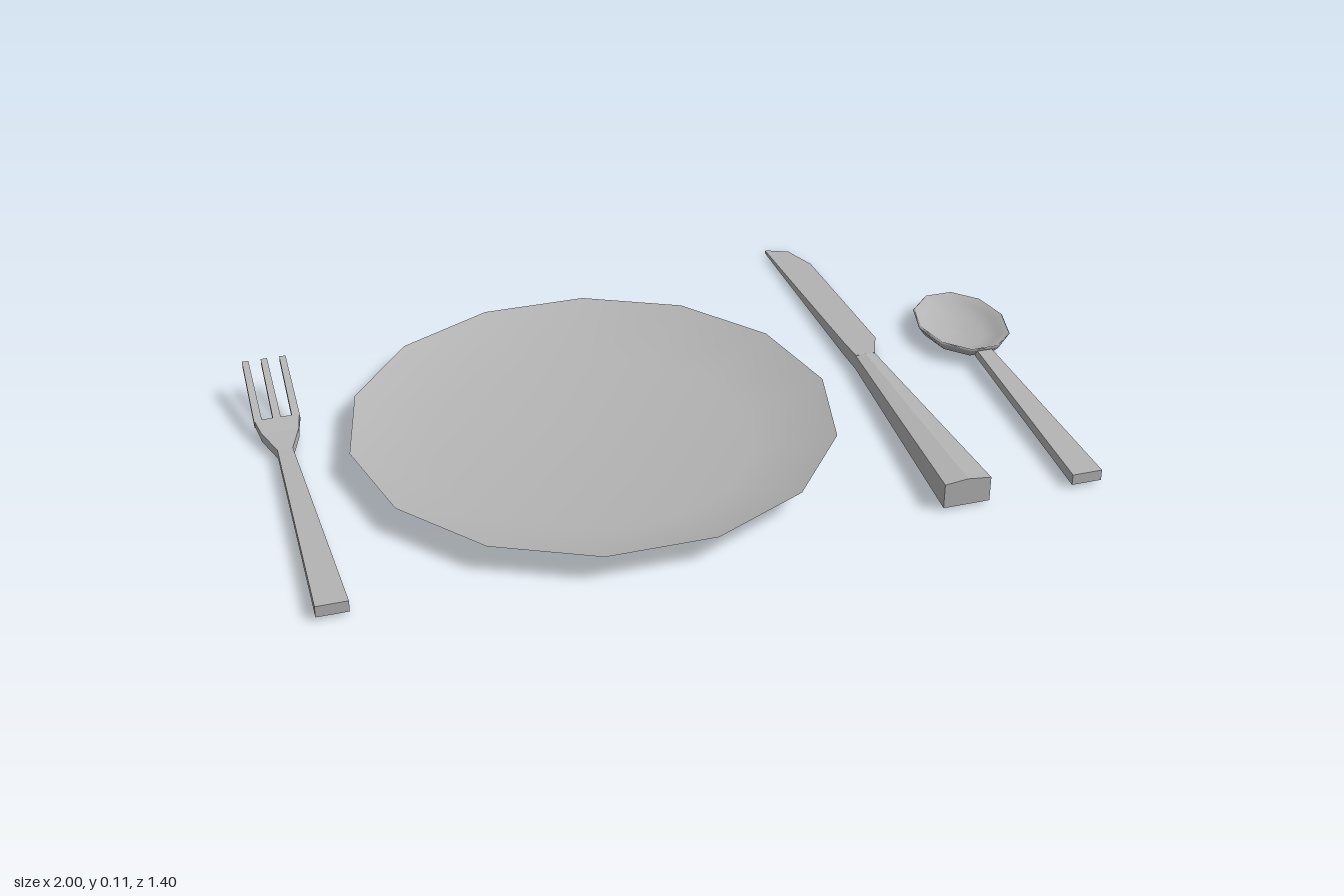
import * as THREE from 'three';

// Lofts a six-sided bar from the front (+z) to the back.
// Each section: [z, left x, right x, bottom y, top y], crown bulges the top middle.
function loft(sections, crown = 0) {
  const rings = sections.map(([z, x0, x1, y0, y1]) => {
    const xm = (x0 + x1) / 2, top = y1 + crown * (y1 - y0);
    return [[x0, y0, z], [xm, y0, z], [x1, y0, z], [x1, y1, z], [xm, top, z], [x0, y1, z]];
  });
  const pos = [], n = 6, last = rings.length - 1;
  const tri = (...pts) => pts.forEach((p) => pos.push(...p));
  for (let i = 0; i < last; i++) {
    for (let j = 0; j < n; j++) {
      const k = (j + 1) % n, a = rings[i], b = rings[i + 1];
      tri(a[j], b[j], a[k]);
      tri(a[k], b[j], b[k]);
    }
  }
  for (let j = 1; j < n - 1; j++) {
    tri(rings[0][0], rings[0][j], rings[0][j + 1]);
    tri(rings[last][0], rings[last][j + 1], rings[last][j]);
  }
  const geo = new THREE.BufferGeometry();
  geo.setAttribute('position', new THREE.Float32BufferAttribute(pos, 3));
  geo.computeVertexNormals();
  return geo;
}

export function createModel() {
  const model = new THREE.Group();
  model.name = 'placeSetting';
  const grey = new THREE.MeshStandardMaterial({ color: 0xb4b4b4, side: THREE.DoubleSide });
  grey.name = 'grey';

  const add = (parent, name, geo) => {
    const mesh = new THREE.Mesh(geo, grey);
    mesh.name = name;
    parent.add(mesh);
    return mesh;
  };
  const group = (name) => {
    const g = new THREE.Group();
    g.name = name;
    model.add(g);
    return g;
  };
  const lathe = (points, sides) =>
    new THREE.LatheGeometry(points.map(([r, y]) => new THREE.Vector2(r, y)), sides, Math.PI / 2);

  // Plate: a shallow dish with sloping sides
  const plate = add(model, 'plate', lathe([[0, 0.002], [0.4, 0.002], [0.603, 0.07]], 14));
  plate.position.set(-0.202, 0, 0.111);

  // Fork: tapering handle, flared head and three rising tines
  const fork = group('fork');
  fork.position.x = -0.943;
  add(fork, 'forkHandle', loft([
    [0.65, -0.038, 0.038, 0.008, 0.037],
    [-0.02, -0.019, 0.019, 0.004, 0.03],
    [-0.095, -0.046, 0.046, 0.012, 0.036],
    [-0.145, -0.056, 0.056, 0.03, 0.046],
  ]));
  for (const x of [-0.047, 0, 0.047]) {
    add(fork, 'forkTine', loft([
      [-0.14, x - 0.01, x + 0.01, 0.028, 0.044],
      [-0.325, x - 0.008, x + 0.008, 0.098, 0.114],
    ]));
  }

  // Knife: thick handle end, narrow neck and blade with a slanted tip
  const knife = group('knife');
  add(knife, 'knifeHandle', loft([
    [0.652, 0.505, 0.622, 0.006, 0.071],
    [-0.02, 0.544, 0.597, 0.002, 0.04],
  ], 0.1));
  add(knife, 'knifeBlade', loft([
    [-0.02, 0.544, 0.597, 0.002, 0.042],
    [-0.1, 0.541, 0.63, 0.002, 0.038],
    [-0.58, 0.535, 0.626, 0.002, 0.016],
    [-0.675, 0.534, 0.594, 0.002, 0.012],
    [-0.703, 0.534, 0.54, 0.002, 0.01],
  ]));

  // Spoon: tapering handle and oval hollow bowl
  const spoon = group('spoon');
  spoon.position.x = 0.875;
  add(spoon, 'spoonHandle', loft([
    [0.652, -0.038, 0.038, 0.008, 0.036],
    [0.04, -0.02, 0.02, 0.022, 0.043],
  ]));
  const bowl = add(spoon, 'spoonBowl', lathe([
    [0, 0], [0.55, 0.002], [0.85, 0.02], [1, 0.045],
    [0.97, 0.05], [0.8, 0.035], [0.5, 0.017], [0, 0.014],
  ], 10));
  bowl.scale.set(0.12, 1, 0.165);
  bowl.position.z = -0.102;

  return model;
}
